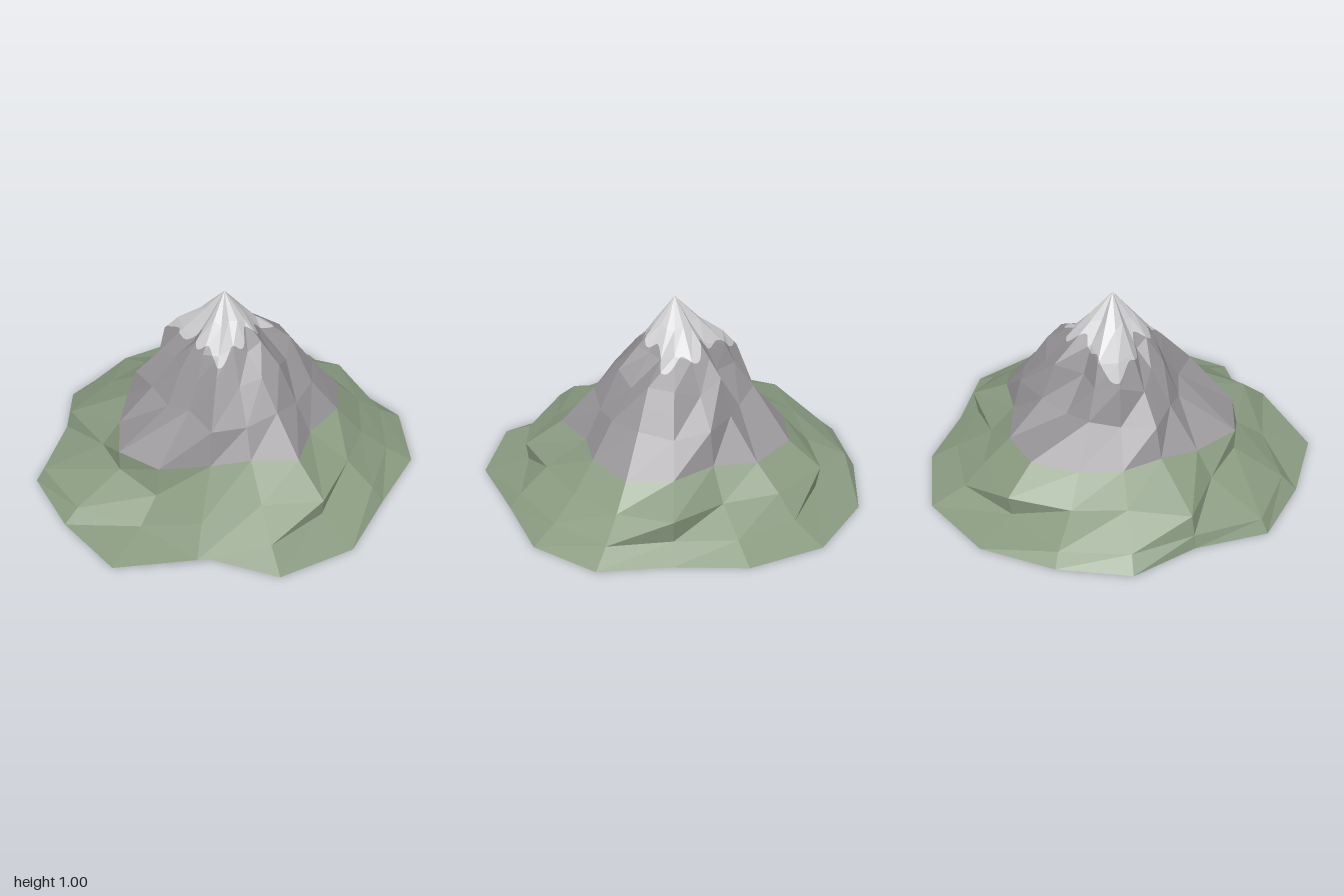
import * as THREE from 'three';

const SIDES = 16;
const STRETCH_X = 1.05; // cross-sections are slightly wider than deep
const CENTRE_X = 0.006;

// Horizontal cross-sections: height, height variation, and 16 radii going from +x round to +z
const RINGS = [
  { y: 0.00, vary: 0.000, r: [0.945, 0.95, 0.89, 0.99, 1, 0.83, 1.025, 0.955, 0.96, 0.825, 0.935, 0.94, 1, 1.01, 0.935, 0.845] },
  { y: 0.07, vary: 0.000, r: [0.835, 0.82, 0.83, 0.76, 0.85, 0.92, 0.78, 0.88, 0.92, 0.81, 0.86, 0.89, 0.77, 0.83, 0.80, 0.74] },
  { y: 0.175, vary: 0.015, r: [0.71, 0.69, 0.69, 0.77, 0.68, 0.79, 0.64, 0.63, 0.62, 0.785, 0.68, 0.69, 0.79, 0.72, 0.62, 0.76] },
  { y: 0.30, vary: 0.012, r: [0.60, 0.56, 0.48, 0.58, 0.49, 0.49, 0.61, 0.63, 0.53, 0.49, 0.51, 0.56, 0.62, 0.575, 0.50, 0.57] },
  { y: 0.47, vary: 0.020, r: [0.45, 0.43, 0.40, 0.41, 0.41, 0.45, 0.33, 0.34, 0.36, 0.44, 0.38, 0.40, 0.35, 0.39, 0.46, 0.46] },
  { y: 0.635, vary: 0.030, r: [0.33, 0.30, 0.30, 0.29, 0.28, 0.28, 0.25, 0.26, 0.24, 0.32, 0.34, 0.30, 0.22, 0.32, 0.33, 0.34] },
  { y: 0.75, vary: 0.020, r: [0.18, 0.17, 0.20, 0.18, 0.16, 0.20, 0.20, 0.17, 0.15, 0.20, 0.26, 0.25, 0.16, 0.24, 0.22, 0.19] },
  { y: 0.87, vary: 0.010, r: [0.10, 0.09, 0.11, 0.10, 0.08, 0.11, 0.10, 0.09, 0.07, 0.10, 0.13, 0.12, 0.08, 0.12, 0.11, 0.10] },
];
const APEX = new THREE.Vector3(CENTRE_X, 1, 0);
const TREELINE_RING = 3;
const SNOW_FROM_RING = 4;

// A point of the loft; anything above the last ring is the summit
function point(ring, k) {
  if (ring >= RINGS.length) return APEX;
  const { y, vary, r } = RINGS[ring];
  const i = k % SIDES;
  const a = (i / SIDES) * Math.PI * 2;
  return new THREE.Vector3(
    CENTRE_X + STRETCH_X * Math.cos(a) * r[i],
    y + vary * Math.sin(i * 2.4 + ring * 1.7),
    Math.sin(a) * r[i],
  );
}

// Triangles of the bands from one ring up to another
function bandTriangles(from, to) {
  const tris = [];
  for (let ring = from; ring < to; ring++) {
    for (let k = 0; k < SIDES; k++) {
      const a = point(ring, k), b = point(ring, k + 1);
      const c = point(ring + 1, k), d = point(ring + 1, k + 1);
      tris.push([a, c, b]);
      if (ring + 1 < RINGS.length) tris.push([b, c, d]);
    }
  }
  return tris;
}

// Halve the edges of a triangle so the snow edge can wander across its face
function subdivide([a, b, c], levels) {
  if (levels === 0) return [[a, b, c]];
  const mid = (p, q) => p.clone().lerp(q, 0.5);
  const ab = mid(a, b), bc = mid(b, c), ca = mid(c, a);
  return [[a, ab, ca], [ab, b, bc], [ca, bc, c], [ab, bc, ca]].flatMap((t) => subdivide(t, levels - 1));
}

// Height above the ragged snow edge, which hangs lowest at the back right
function aboveSnowline(p) {
  const a = Math.atan2(p.z, p.x);
  const edge = 0.755 + 0.035 * Math.cos(3 * (a - 4.97)) - 0.02 * Math.cos(a - 3.93) + 0.028 * Math.sin(9 * a);
  return p.y - edge;
}

// Keep the part of a triangle on one side of the snow edge
function clip(tri, sign) {
  const kept = [];
  tri.forEach((p, i) => {
    const q = tri[(i + 1) % 3];
    const fp = aboveSnowline(p) * sign, fq = aboveSnowline(q) * sign;
    if (fp >= 0) kept.push(p);
    if ((fp >= 0) !== (fq >= 0)) kept.push(p.clone().lerp(q, fp / (fp - fq)));
  });
  const out = [];
  for (let i = 2; i < kept.length; i++) out.push([kept[0], kept[i - 1], kept[i]]);
  return out;
}

// Unshared corners give flat facets
function facetMesh(name, tris, material) {
  const geometry = new THREE.BufferGeometry().setFromPoints(tris.flat());
  geometry.computeVertexNormals();
  const mesh = new THREE.Mesh(geometry, material);
  mesh.name = name;
  return mesh;
}

function flatColour(name, color) {
  const material = new THREE.MeshStandardMaterial({ color, side: THREE.DoubleSide });
  material.name = name;
  return material;
}

export function createModel() {
  const grass = flatColour('grass green', 0x899a80);
  const rock = flatColour('rock grey', 0x979498);
  const snow = flatColour('snow white', 0xcbcbcd);

  const upper = bandTriangles(SNOW_FROM_RING, RINGS.length).flatMap((t) => subdivide(t, 3));
  const rockFaces = [
    ...bandTriangles(TREELINE_RING, SNOW_FROM_RING),
    ...upper.flatMap((t) => clip(t, -1)),
  ];

  const mountain = new THREE.Group();
  mountain.name = 'mountain';
  mountain.add(
    facetMesh('grassySlopes', bandTriangles(0, TREELINE_RING), grass), // open underneath
    facetMesh('rockyFlanks', rockFaces, rock),
    facetMesh('snowCap', upper.flatMap((t) => clip(t, 1)), snow),
  );
  return mountain;
}
